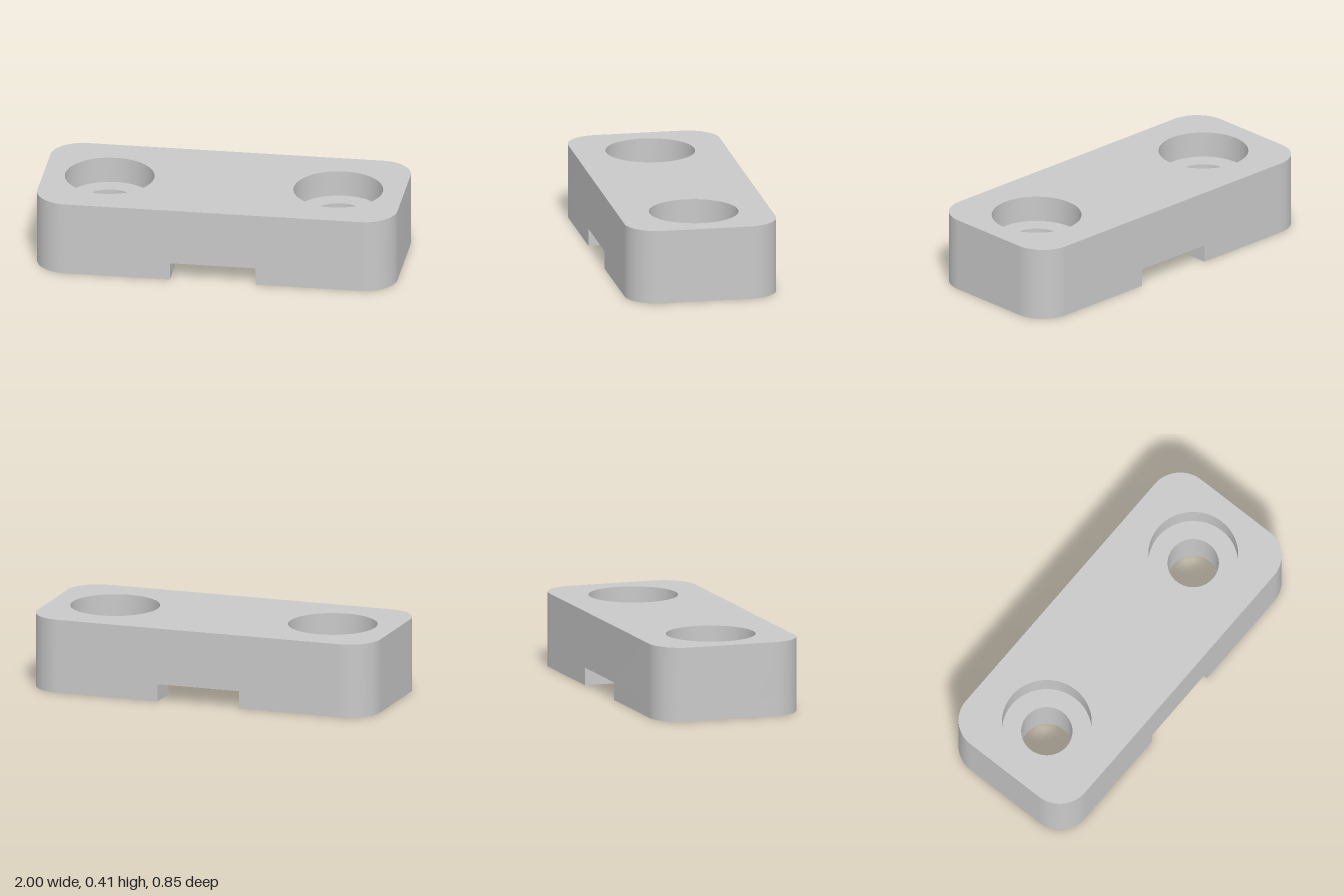
import * as THREE from 'three';
import { toCreasedNormals } from 'three/addons/utils/BufferGeometryUtils.js';

const HEIGHT = 0.413, HX = 1, HZ = 0.423, CORNER = 0.18;
const CHANNEL_X = 0.238, CHANNEL_Y = 0.098;
const POCKET_X = 0.355, POCKET_Z = 0.24, POCKET_Y = 0.145;
const HOLE_X = 0.635, HOLE_R = 0.141, BORE_R = 0.247, BORE_Y = HEIGHT - 0.145;
const SEGMENTS = 24;

const grey = new THREE.MeshStandardMaterial({ color: 0xc8c8c8 });
grey.name = 'grey';

function part(name, geometry) {
  const mesh = new THREE.Mesh(geometry, grey);
  mesh.name = name;
  return mesh;
}

// Horizontal face at height y, facing up or down
function cap(name, shape, y, up) {
  const g = new THREE.ShapeGeometry(shape, SEGMENTS);
  g.rotateX(up ? -Math.PI / 2 : Math.PI / 2).translate(0, y, 0);
  return part(name, g);
}

// Vertical wall along a closed counter-clockwise outline, facing out or in
function wall(name, path, y0, y1, inward = false) {
  const pts = path.getPoints(SEGMENTS);
  if (pts[0].distanceTo(pts[pts.length - 1]) > 1e-5) pts.push(pts[0].clone());
  if (inward) pts.reverse();
  const pos = [];
  for (let i = 0; i < pts.length - 1; i++) {
    const a = pts[i], b = pts[i + 1];
    if (a.distanceTo(b) < 1e-5) continue;
    pos.push(a.x, y0, -a.y, b.x, y0, -b.y, b.x, y1, -b.y);
    pos.push(a.x, y0, -a.y, b.x, y1, -b.y, a.x, y1, -a.y);
  }
  const g = new THREE.BufferGeometry();
  g.setAttribute('position', new THREE.Float32BufferAttribute(pos, 3));
  return part(name, toCreasedNormals(g, 0.5));
}

function rect(x0, z0, x1, z1) {
  return new THREE.Shape().moveTo(x0, z0).lineTo(x1, z0).lineTo(x1, z1).lineTo(x0, z1).closePath();
}

function circle(x, r) {
  return new THREE.Shape().absarc(x, 0, r, 0, Math.PI * 2, false);
}

// Adds the two rounded corners of the +x or -x end to a shape
function roundedEnd(shape, dir) {
  const cx = (HX - CORNER) * dir, cz = (HZ - CORNER) * dir;
  const start = dir > 0 ? -Math.PI / 2 : Math.PI / 2;
  shape.absarc(cx, -cz, CORNER, start, start + Math.PI / 2, false);
  shape.absarc(cx, cz, CORNER, start + Math.PI / 2, start + Math.PI, false);
}

export function createModel() {
  const model = new THREE.Group();
  model.name = 'mountingBlock';

  // Main body: rounded outline with two counterbored openings on top
  const outline = new THREE.Shape();
  roundedEnd(outline, 1);
  roundedEnd(outline, -1);
  outline.closePath();
  model.add(wall('bodySides', outline, CHANNEL_Y, HEIGHT));
  const top = outline.clone();
  top.holes = [circle(HOLE_X, BORE_R), circle(-HOLE_X, BORE_R)];
  model.add(cap('bodyTop', top, HEIGHT, true));

  // Underside channel, front to back, with a deeper pocket in the middle
  for (const [name, z0, z1] of [['frontChannel', POCKET_Z, HZ], ['backChannel', -HZ, -POCKET_Z]]) {
    model.add(cap(name, rect(-CHANNEL_X, z0, CHANNEL_X, z1), CHANNEL_Y, false));
  }
  const pocket = rect(-POCKET_X, -POCKET_Z, POCKET_X, POCKET_Z);
  model.add(cap('pocketCeiling', pocket, POCKET_Y, false));
  model.add(wall('pocketWalls', pocket, CHANNEL_Y, POCKET_Y, true));

  // One end: foot beside the channel and its stepped screw hole
  const leftEnd = new THREE.Group();
  leftEnd.name = 'leftEnd';
  const foot = new THREE.Shape().moveTo(CHANNEL_X, -POCKET_Z).lineTo(CHANNEL_X, -HZ);
  roundedEnd(foot, 1);
  foot.lineTo(CHANNEL_X, HZ).lineTo(CHANNEL_X, POCKET_Z).lineTo(POCKET_X, POCKET_Z)
    .lineTo(POCKET_X, -POCKET_Z).closePath();
  leftEnd.add(wall('footSides', foot, 0, CHANNEL_Y));
  const hole = circle(HOLE_X, HOLE_R), bore = circle(HOLE_X, BORE_R);
  const sole = foot.clone();
  sole.holes = [hole];
  const ledge = bore.clone();
  ledge.holes = [hole];
  leftEnd.add(
    cap('footBottom', sole, 0, false),
    wall('screwHole', hole, 0, BORE_Y, true),
    cap('counterboreLedge', ledge, BORE_Y, true),
    wall('counterboreWall', bore, BORE_Y, HEIGHT, true),
  );

  // The other end is the same, turned half way round
  const rightEnd = leftEnd.clone();
  rightEnd.name = 'rightEnd';
  rightEnd.rotation.y = Math.PI;
  model.add(leftEnd, rightEnd);
  return model;
}
